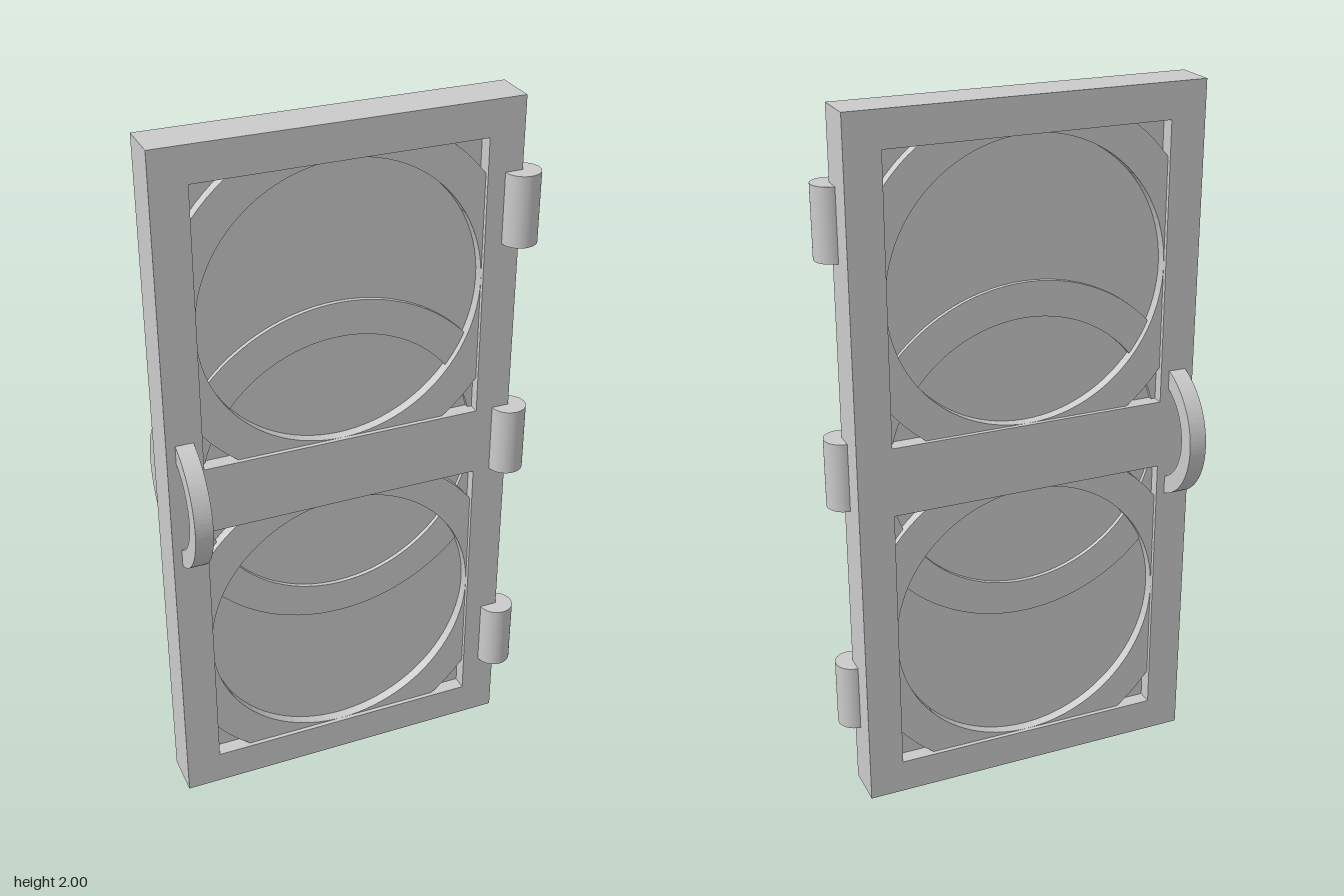
import * as THREE from 'three';

const CX = -0.025; // centre line of the door leaf

export function createModel() {
  const model = new THREE.Group();
  const material = new THREE.MeshStandardMaterial({ color: 0xcccccc });

  const add = (name, geometry, x = 0, y = 0, z = 0) => {
    const mesh = new THREE.Mesh(geometry, material);
    mesh.name = name;
    mesh.position.set(x, y, z);
    model.add(mesh);
    return mesh;
  };

  const rectangle = (Type, w, y0, y1) => new Type([
    new THREE.Vector2(-w / 2, y0), new THREE.Vector2(w / 2, y0),
    new THREE.Vector2(w / 2, y1), new THREE.Vector2(-w / 2, y1),
  ]);

  // Extrude a shape so that it is centred on z = 0
  const slab = (shape, depth) => new THREE.ExtrudeGeometry(shape, {
    depth, bevelEnabled: false, curveSegments: 48,
  }).translate(0, 0, -depth / 2);

  // Flat ring with square edges
  const flatRing = (outer, inner, depth) => {
    const shape = new THREE.Shape().absarc(0, 0, outer, 0, Math.PI * 2);
    shape.holes.push(new THREE.Path().absarc(0, 0, inner, 0, Math.PI * 2));
    return slab(shape, depth);
  };

  // Door frame with two square openings
  const frame = rectangle(THREE.Shape, 1, 0, 2);
  frame.holes.push(rectangle(THREE.Path, 0.8, 0.1, 0.9), rectangle(THREE.Path, 0.8, 1.1, 1.9));
  add('doorFrame', slab(frame, 0.125), CX);

  // Thin panel filling both openings
  add('panel', new THREE.BoxGeometry(0.9, 1.9, 0.04), CX, 1);

  // Overlapping decorative rings, the middle one set deeper
  add('lowerRing', flatRing(0.5, 0.4, 0.1), CX, 0.5);
  add('upperRing', flatRing(0.5, 0.4, 0.1), CX, 1.5);
  add('middleRing', flatRing(0.5, 0.4, 0.064), CX, 1);

  // Ring handle passing through the door
  add('handle', flatRing(0.2, 0.15, 0.05), -0.475, 1).rotation.y = Math.PI / 2;

  // Hinge barrels on the front edge
  for (const y of [0.3, 1, 1.7]) {
    add('hinge', new THREE.CylinderGeometry(0.05, 0.05, 0.2, 48), 0.475, y, 0.0625);
  }

  return model;
}
